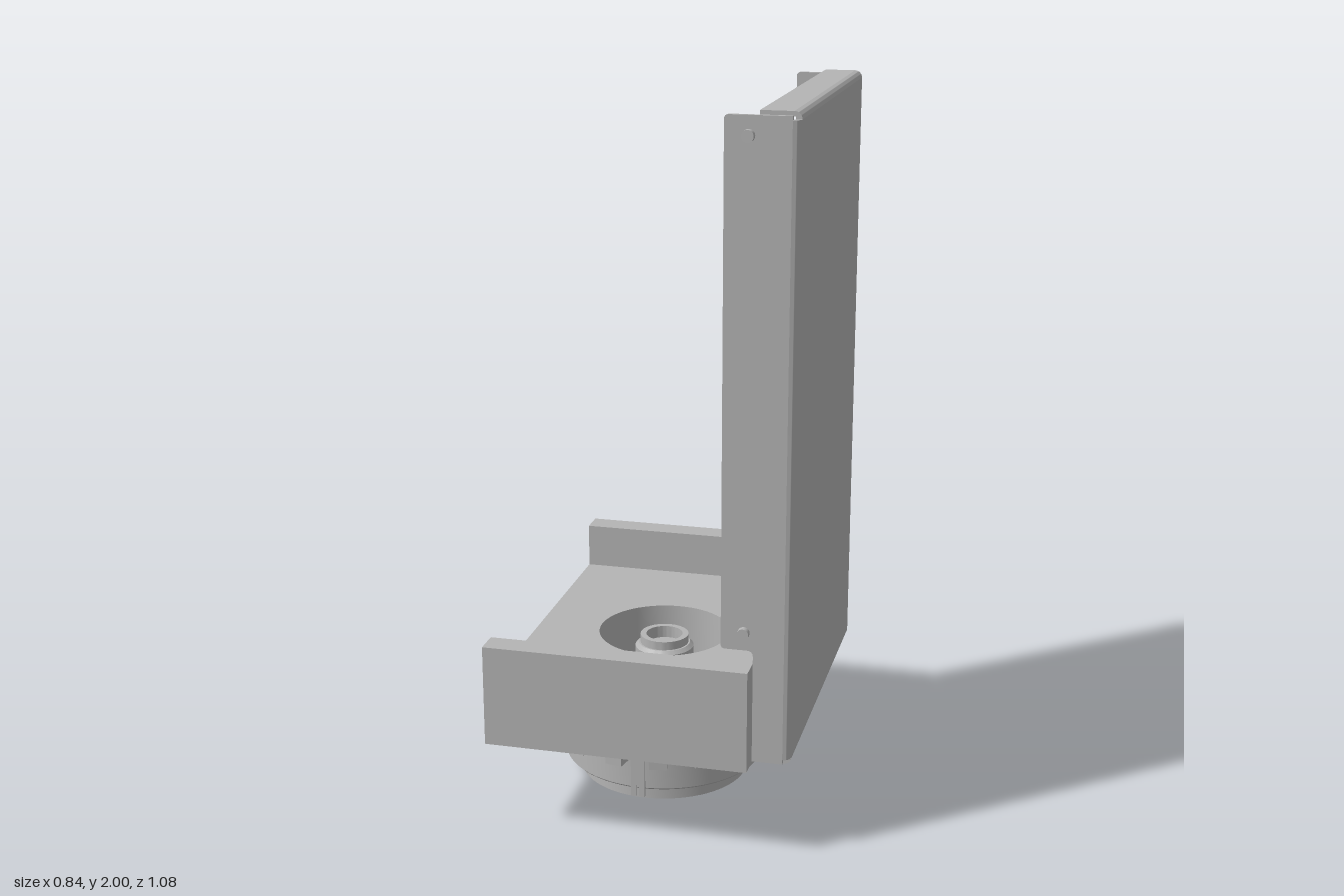
import * as THREE from 'three';
import { toCreasedNormals } from 'three/addons/utils/BufferGeometryUtils.js';

const grey = new THREE.MeshStandardMaterial({ color: 0xb4b4b4 });
grey.name = 'plain grey';

const HUB_X = -0.052; // axis of the round hub
const T = 0.013;      // sheet thickness
const R = 0.02;       // outer bend radius

function add(parent, name, geo, x = 0, y = 0, z = 0) {
  const mesh = new THREE.Mesh(geo, grey);
  mesh.name = name;
  mesh.position.set(x, y, z);
  parent.add(mesh);
  return mesh;
}

// Box given by its limits on each axis
function block(parent, name, x0, x1, y0, y1, z0, z1) {
  return add(parent, name, new THREE.BoxGeometry(x1 - x0, y1 - y0, z1 - z0),
    (x0 + x1) / 2, (y0 + y1) / 2, (z0 + z1) / 2);
}

function extrude(shape, depth, curveSegments = 32) {
  return toCreasedNormals(
    new THREE.ExtrudeGeometry(shape, { depth, bevelEnabled: false, curveSegments }), 0.6);
}

function lathe(points) {
  return toCreasedNormals(
    new THREE.LatheGeometry(points.map(p => new THREE.Vector2(...p)), 64), 0.5);
}

function circleHole(x, y, r) {
  return new THREE.Path().absarc(x, y, r, 0, Math.PI * 2, true);
}

// Quarter-round sheet bend, running along z
function bend(length) {
  const s = new THREE.Shape();
  s.absarc(0, 0, R, 0, Math.PI / 2, false);
  s.absarc(0, 0, R - T, Math.PI / 2, 0, true);
  return extrude(s, length, 8);
}

function makeBase() {
  const g = new THREE.Group();
  g.name = 'base';
  // Floor with a round opening
  const s = new THREE.Shape();
  s.moveTo(-0.42, -0.468);
  s.lineTo(0.31, -0.468);
  s.lineTo(0.31, 0.468);
  s.lineTo(-0.42, 0.468);
  s.closePath();
  s.holes.push(circleHole(HUB_X, 0, 0.19));
  add(g, 'baseFloor', extrude(s, 0.155).rotateX(-Math.PI / 2), 0, 0.265, 0);
  // Side walls
  block(g, 'frontWall', -0.42, 0.31, 0.265, 0.55, 0.468, 0.54);
  block(g, 'backWall', -0.42, 0.31, 0.265, 0.55, -0.54, -0.468);
  return g;
}

function makeHub() {
  const g = new THREE.Group();
  g.name = 'hub';
  g.position.x = HUB_X;
  // Stepped body
  add(g, 'hubBody', lathe([[0, 0.05], [0.285, 0.05], [0.29, 0.055], [0.29, 0.165],
    [0.335, 0.165], [0.34, 0.17], [0.34, 0.265], [0, 0.266]]));
  // Bottom disc with three round pockets
  const disc = new THREE.Shape().absarc(0, 0, 0.245, 0, Math.PI * 2, false);
  for (let i = 0; i < 3; i++) {
    const a = -Math.PI / 2 + i * Math.PI * 2 / 3;
    disc.holes.push(circleHole(Math.cos(a) * 0.13, Math.sin(a) * 0.13, 0.085));
  }
  add(g, 'bottomDisc', extrude(disc, 0.05).rotateX(-Math.PI / 2));
  // Teeth under the flange
  for (let i = 0; i < 16; i++) {
    const a = (i + 0.5) * Math.PI / 8;
    const tooth = add(g, 'tooth', new THREE.BoxGeometry(0.05, 0.032, 0.05),
      Math.sin(a) * 0.31, 0.151, Math.cos(a) * 0.31);
    tooth.rotation.y = a;
  }
  // Index tab with a slot, at the front
  const tab = new THREE.Shape();
  tab.moveTo(-0.02, 0.035);
  tab.lineTo(-0.004, 0.035);
  tab.lineTo(-0.004, 0.07);
  tab.lineTo(0.004, 0.07);
  tab.lineTo(0.004, 0.035);
  tab.lineTo(0.02, 0.035);
  tab.lineTo(0.02, 0.165);
  tab.lineTo(-0.02, 0.165);
  tab.closePath();
  add(g, 'indexTab', extrude(tab, 0.008), 0, 0, 0.3);
  // Hollow boss inside the opening
  add(g, 'centreBoss', lathe([[0.085, 0.265], [0.085, 0.375], [0.075, 0.385], [0.07, 0.385],
    [0.07, 0.41], [0.053, 0.41], [0.053, 0.375], [0, 0.375]]));
  return g;
}

function makePanel() {
  const g = new THREE.Group();
  g.name = 'panel';
  const cx = 0.395, top = 1.98, bottom = 0.285, half = 0.462;
  block(g, 'panelSheet', cx + R - T, cx + R, bottom, top, -half, half);
  // Top and bottom lips with their bends
  block(g, 'topLip', 0.31, cx, top + R - T, top + R, -half, half);
  block(g, 'bottomLip', 0.31, cx, bottom - R, bottom - R + T, -half, half);
  add(g, 'topBend', bend(half * 2), cx, top, -half);
  add(g, 'bottomBend', bend(half * 2).rotateZ(-Math.PI / 2), cx, bottom, -half);
  // Vertical bends
  const h = top - bottom;
  add(g, 'backBend', bend(h).rotateX(-Math.PI / 2), cx, bottom, -half);
  add(g, 'frontBend', bend(h).rotateZ(-Math.PI / 2).rotateX(-Math.PI / 2), cx, bottom, half);

  // Side flanges, narrowed beside the base
  const f = new THREE.Shape();
  f.moveTo(cx, 0.272);
  f.lineTo(cx, 1.99);
  f.lineTo(0.237, 1.99);
  f.quadraticCurveTo(0.225, 1.99, 0.225, 1.978);
  f.lineTo(0.225, 0.602);
  f.quadraticCurveTo(0.225, 0.59, 0.237, 0.59);
  f.lineTo(0.295, 0.59);
  f.quadraticCurveTo(0.312, 0.59, 0.312, 0.573);
  f.lineTo(0.312, 0.272);
  f.closePath();
  add(g, 'frontFlange', extrude(f, T, 8), 0, 0, half + R - T);
  add(g, 'backFlange', extrude(f, T, 8), 0, 0, -half - R);

  // Pins through the flanges
  const pin = (name, r, y, z0, z1) => add(g, name,
    new THREE.CylinderGeometry(r, r, z1 - z0, 24).rotateX(Math.PI / 2), 0.287, y, (z0 + z1) / 2);
  for (const y of [0.64, 1.94]) {
    pin('frontPinHead', 0.016, y, 0.47, 0.5);
    pin('backPinHead', 0.016, y, -0.502, -0.47);
    pin('backPinShaft', 0.01, y, -0.48, -0.438);
  }
  return g;
}

export function createModel() {
  const model = new THREE.Group();
  model.name = 'bracketAssembly';
  model.add(makeBase(), makeHub(), makePanel());
  return model;
}
